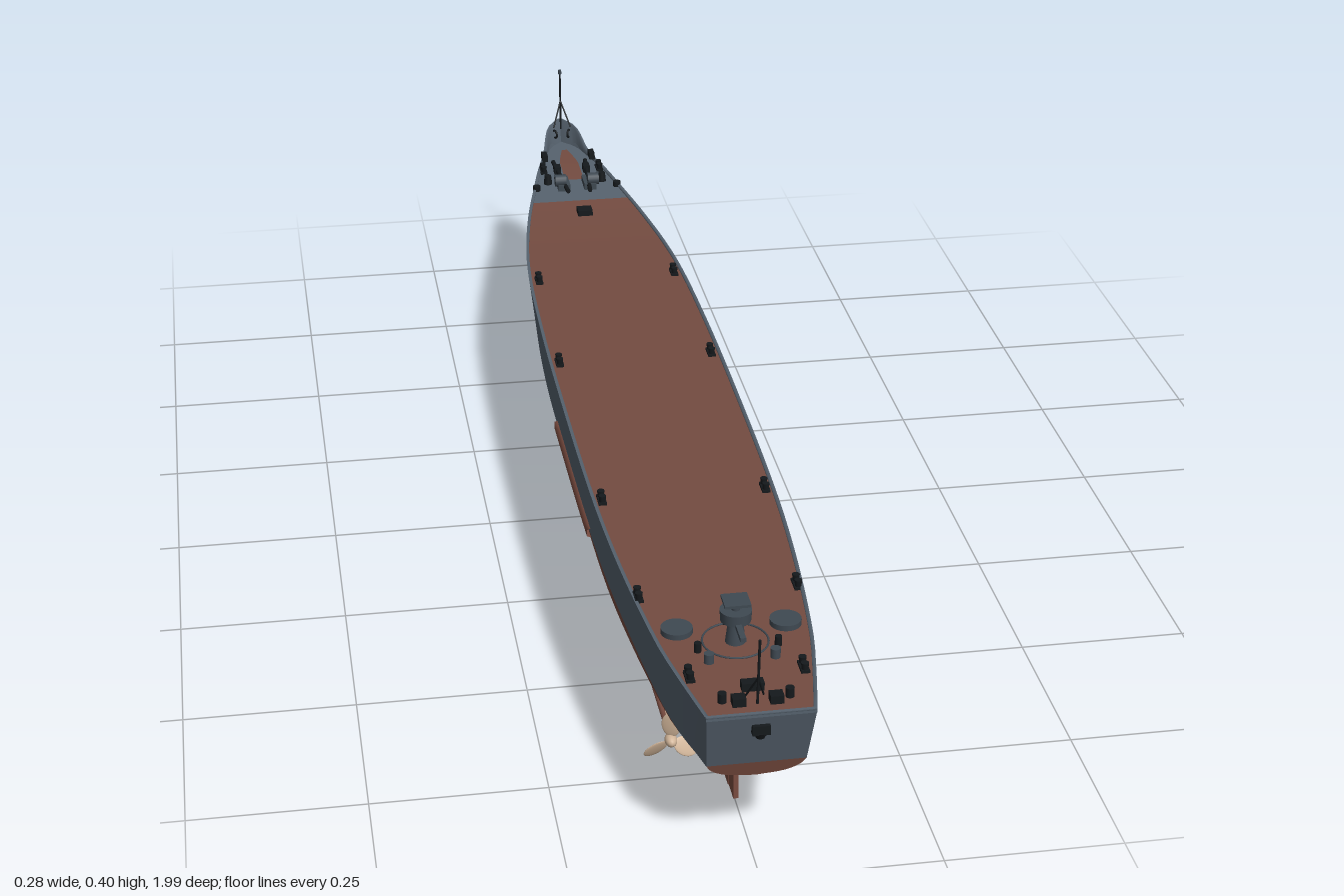
import * as THREE from 'three';

// hull stations: z, keelY, bilgeX, bilgeY, lowX, lowY, waterlineX, deckX, sheerY
const STATIONS = [
  [0.985, 0.135, 0.04, 0.14, 0.06, 0.15, 0.067, 0.073, 0.253],
  [0.9, 0.112, 0.045, 0.122, 0.07, 0.142, 0.084, 0.09, 0.253],
  [0.8, 0.088, 0.052, 0.1, 0.085, 0.128, 0.1, 0.107, 0.253],
  [0.6, 0.052, 0.064, 0.067, 0.101, 0.108, 0.118, 0.126, 0.253],
  [0.4, 0.027, 0.08, 0.05, 0.113, 0.1, 0.129, 0.136, 0.253],
  [0.1, 0.015, 0.097, 0.05, 0.118, 0.1, 0.133, 0.14, 0.253],
  [-0.2, 0.015, 0.094, 0.048, 0.116, 0.1, 0.132, 0.139, 0.253],
  [-0.45, 0.015, 0.07, 0.038, 0.1, 0.1, 0.117, 0.13, 0.253],
  [-0.65, 0.015, 0.04, 0.034, 0.068, 0.1, 0.085, 0.104, 0.256],
  [-0.8, 0.015, 0.016, 0.03, 0.034, 0.1, 0.046, 0.07, 0.266],
  [-0.89, 0.016, 0.006, 0.03, 0.013, 0.1, 0.02, 0.042, 0.274],
  [-0.93, 0.02, 0.003, 0.035, 0.005, 0.1, 0.008, 0.027, 0.298],
  [-0.955, 0.032, 0, 0.05, 0, 0.1, 0, 0.003, 0.305],
];
const WL = 0.16;

// smooth interpolation between stations
function station(z) {
  const S = STATIONS;
  let i = 0;
  while (i < S.length - 2 && z < S[i + 1][0]) i++;
  const h = S[i + 1][0] - S[i][0], t = (z - S[i][0]) / h;
  const slope = (j, c) => {
    const a = S[Math.max(j - 1, 0)], b = S[Math.min(j + 1, S.length - 1)];
    return (b[c] - a[c]) / (b[0] - a[0]);
  };
  return S[i].map((v, c) => c === 0 ? z :
    v * (1 + 2 * t) * (1 - t) ** 2 + S[i + 1][c] * t * t * (3 - 2 * t) +
    h * (slope(i, c) * t * (1 - t) ** 2 - slope(i + 1, c) * t * t * (1 - t)));
}

// raked transom and flared clipper stem
function rake(z, y) {
  const s = THREE.MathUtils.smoothstep(z, 0.85, 0.985);
  const b = THREE.MathUtils.smoothstep(-z, 0.72, 0.955);
  return z + s * (y - 0.25) * 0.3 - b * 0.045 * Math.max(0, (y - WL) / 0.145) ** 1.4;
}
const P = (x, y, z) => new THREE.Vector3(x, y, rake(z, y));

function bottomHalf(z) {
  const [, k, bx, by, lx, ly, wx] = station(z);
  const c = new THREE.CatmullRomCurve3([[0, k], [bx, by], [lx, ly], [wx, WL]].map(p => new THREE.Vector3(p[0], p[1], 0)), false, 'centripetal');
  return c.getPoints(12).map(p => P(Math.max(0, p.x), p.y, z));
}
function topHalf(z) {
  const s = station(z), out = [];
  for (let i = 0; i <= 6; i++) {
    const t = i / 6, p = z < -0.5 ? 1 + (-z - 0.5) * 0.9 : 1;
    out.push(P(s[6] + (s[7] - s[6]) * t ** p, WL + (s[8] - WL) * t, z));
  }
  return out;
}
const deckY = z => Math.min(station(z)[8] - 0.004, 0.264);
const mirror = a => a.map(p => new THREE.Vector3(-p.x, p.y, p.z));

// surface through equal-length rows of points
function loft(rows) {
  const n = rows[0].length, idx = [];
  for (let i = 0; i < rows.length - 1; i++)
    for (let j = 0; j < n - 1; j++) {
      const a = i * n + j, b = a + n;
      idx.push(a, a + 1, b, b, a + 1, b + 1);
    }
  const g = new THREE.BufferGeometry().setFromPoints(rows.flat());
  g.setIndex(idx);
  g.computeVertexNormals();
  return g;
}
function range(a, b, n) {
  return Array.from({ length: n + 1 }, (_, i) => a + (b - a) * i / n);
}

export function createModel() {
  const root = new THREE.Group();
  const mat = (name, color, side = THREE.FrontSide) => {
    const m = new THREE.MeshStandardMaterial({ color, side });
    m.name = name;
    return m;
  };
  const grey = mat('hull grey', 0x56626e, THREE.DoubleSide);
  const red = mat('antifouling red', 0x7a4c40, THREE.DoubleSide);
  const deckMat = mat('deck brown', 0x744c41, THREE.DoubleSide);
  const black = mat('fitting black', 0x15191c);
  const steel = mat('steel grey', 0x3f4952);
  const bronze = mat('bronze', 0xd0b498);

  const add = (name, geo, m, x = 0, y = 0, z = 0, parent = root) => {
    const o = new THREE.Mesh(geo, m);
    o.name = name;
    o.position.set(x, y, z);
    parent.add(o);
    return o;
  };
  const box = (w, h, d) => new THREE.BoxGeometry(w, h, d);
  const cyl = (r, h, r2 = r, n = 16) => new THREE.CylinderGeometry(r2, r, h, n);
  const rod = (name, a, b, r, m, r2 = r) => {
    const A = new THREE.Vector3(...a), B = new THREE.Vector3(...b), d = B.clone().sub(A);
    const o = add(name, cyl(r, d.length(), r2, 10), m);
    o.position.copy(A).addScaledVector(d, 0.5);
    o.quaternion.setFromUnitVectors(new THREE.Vector3(0, 1, 0), d.normalize());
    return o;
  };

  // hull shell
  const zs = [...range(0.985, -0.8, 50), ...range(-0.8, -0.955, 16).slice(1)];
  add('lowerHull', loft(zs.map(z => {
    const h = bottomHalf(z);
    return [...mirror(h).reverse(), ...h.slice(1)];
  })), red);
  add('leftTopsides', loft(zs.map(topHalf)), grey);
  add('rightTopsides', loft(zs.map(z => mirror(topHalf(z)).reverse())), grey);

  // transom
  const pair = p => [new THREE.Vector3(-p.x, p.y, p.z), p];
  add('transomLower', loft(bottomHalf(0.985).map(pair).reverse()), red);
  add('transomUpper', loft(topHalf(0.985).map(pair).reverse()), grey);

  // decks
  const deckRow = z => {
    const x = Math.max(0, station(z)[7] - 0.004), y = deckY(z);
    return [P(-x, y, z), P(x, y, z)];
  };
  add('mainDeck', loft(range(0.985, -0.715, 50).map(deckRow)), deckMat);
  add('foredeck', loft(range(-0.715, -0.955, 16).map(deckRow)), grey);
  add('foredeckCentre', loft(range(-0.79, -0.91, 6).map(z => {
    const w = 0.017 * Math.min(1, (z + 0.93) / 0.07);
    return [P(-w, deckY(z) + 0.002, z), P(w, deckY(z) + 0.002, z)];
  })), deckMat);

  // gunwale and bow bulwark
  const rim = zs.map(z => {
    const s = station(z), x = Math.max(0, s[7] - 0.005);
    return [P(s[7], s[8], z), P(x, s[8], z), P(x, deckY(z), z)];
  });
  add('leftGunwale', loft(rim), grey);
  add('rightGunwale', loft(rim.map(r => mirror(r).reverse())), grey);
  add('sternGunwale', box(0.146, 0.006, 0.005), grey, 0, 0.251, 0.983);

  // rudder
  add('rudder', box(0.009, 0.068, 0.062), red, 0, 0.042, 0.757);
  add('rudderAft', box(0.007, 0.06, 0.036), red, 0, 0.039, 0.806);
  rod('rudderStock', [0, 0.07, 0.77], [0, 0.1, 0.77], 0.006, red);

  for (const s of [-1, 1]) {
    // shaft line, bossing and brackets
    rod('shaft', [s * 0.07, 0.03, 0.7], [s * 0.064, 0.043, 0.4], 0.0045, bronze);
    rod('shaftBossing', [s * 0.068, 0.035, 0.56], [s * 0.06, 0.052, 0.33], 0.007, red, 0.014);
    rod('innerBracket', [s * 0.07, 0.031, 0.675], [s * 0.035, 0.078, 0.665], 0.004, red);
    rod('outerBracket', [s * 0.07, 0.031, 0.675], [s * 0.088, 0.1, 0.665], 0.004, red);

    // three-bladed propeller
    const prop = new THREE.Group();
    prop.name = 'propeller';
    prop.position.set(s * 0.07, 0.03, 0.7);
    root.add(prop);
    const hub = add('hub', new THREE.SphereGeometry(0.009, 16, 12), bronze, 0, 0, 0, prop);
    hub.scale.z = 1.5;
    for (let i = 0; i < 3; i++) {
      const arm = new THREE.Group();
      arm.name = 'bladeArm';
      arm.rotation.z = i * Math.PI * 2 / 3;
      prop.add(arm);
      const blade = add('blade', new THREE.SphereGeometry(1, 16, 12), bronze, 0, 0.025, 0, arm);
      blade.scale.set(0.014, 0.019, 0.002);
      blade.rotation.y = s * 0.5;
    }

    // side strake
    add('sideStrake', loft(range(0.335, -0.02, 12).map(z => {
      const x = s * station(z)[6];
      return [[0, 0.157], [0.006, 0.159], [0.006, 0.17], [0, 0.172]].map(p => new THREE.Vector3(x + s * p[0], p[1], z));
    })), red);

    // bow anchors with hawse plates
    const hx = station(-0.865)[7] - 0.004;
    const anchor = new THREE.Group();
    anchor.name = 'bowAnchor';
    anchor.position.set(s * hx, 0.243, -0.88);
    anchor.rotation.set(0.4, s * 0.4, -s * 0.25);
    root.add(anchor);
    add('anchorShank', box(0.007, 0.034, 0.007), black, 0, 0, 0, anchor);
    add('anchorCrown', box(0.009, 0.009, 0.032), black, 0, -0.014, 0, anchor);
    for (const k of [-1, 1]) add('anchorFluke', box(0.007, 0.02, 0.007), black, 0, -0.005, k * 0.013, anchor);

    // anchor chains, windlasses and stoppers
    rod('anchorChain', [s * 0.02, 0.268, -0.73], [s * 0.03, 0.27, -0.87], 0.004, black);
    add('windlassBase', box(0.022, 0.012, 0.045), steel, s * 0.024, 0.265, -0.775);
    const drum = add('windlassDrum', cyl(0.011, 0.02), steel, s * 0.03, 0.276, -0.765);
    drum.rotation.z = Math.PI / 2;
    add('capstan', cyl(0.008, 0.018, 0.006), black, s * 0.05, 0.268, -0.79);
    add('chainStopper', box(0.012, 0.014, 0.02), black, s * 0.027, 0.269, -0.835);
    add('deckVent', cyl(0.007, 0.014), black, s * 0.074, 0.261, -0.765);
    add('bowFairlead', box(0.01, 0.012, 0.024), black, s * 0.044, 0.275, -0.885);
    const ring = add('bowFairleadRing', new THREE.TorusGeometry(0.007, 0.002, 8, 16), black, s * 0.013, 0.284, -0.973);
    ring.rotation.y = Math.PI / 2 - s * 0.45;

    // stern fittings
    add('sternPlatform', cyl(0.022, 0.008, 0.022, 24), steel, s * 0.075, 0.256, 0.77);
    add('sternFairlead', box(0.018, 0.012, 0.016), black, s * 0.025, 0.257, 0.955);
    add('sternRoller', cyl(0.006, 0.014), black, s * 0.045, 0.257, 0.945);
    add('lockerDrum', cyl(0.007, 0.014), steel, s * 0.045, 0.258, 0.85);
    add('deckPost', cyl(0.005, 0.014), black, s * 0.055, 0.257, 0.82);

    // twin bollards along the sides
    for (const [x, z] of [[0.112, 0.67], [0.122, 0.39], [0.124, -0.07], [0.117, -0.39], [0.077, 0.88], [0.052, -0.84]]) {
      const y = deckY(z);
      add('bollardBase', box(0.012, 0.004, 0.028), black, s * x, y + 0.002, z);
      for (const k of [-1, 1]) add('bollardPost', cyl(0.0045, 0.011, 0.0055, 12), black, s * x, y + 0.008, z + k * 0.008);
    }
  }

  // stern gun tub and mount
  const circle = add('trainingRing', new THREE.TorusGeometry(0.045, 0.0015, 6, 40), steel, 0, 0.25, 0.8);
  circle.rotation.x = Math.PI / 2;
  add('mountPedestal', cyl(0.014, 0.035, 0.01), steel, 0, 0.266, 0.8);
  add('mountPlatform', cyl(0.021, 0.016, 0.022, 24), steel, 0, 0.291, 0.8);
  add('mountColumn', cyl(0.006, 0.014), steel, 0, 0.304, 0.8);
  add('mountTop', box(0.036, 0.004, 0.034), steel, 0, 0.312, 0.8);
  for (const k of [-1, 1]) add('mountArm', box(0.008, 0.006, 0.04), steel, 0, 0.284, 0.8 + k * 0.035);
  add('sternHatch', box(0.018, 0.01, 0.016), black, 0, 0.254, 0.75);
  add('foreHatch', box(0.026, 0.01, 0.024), black, 0, 0.258, -0.66);
  add('sternWinch', box(0.03, 0.012, 0.014), black, 0, 0.256, 0.92);

  // stern anchor
  add('sternAnchorCrown', box(0.024, 0.014, 0.01), black, 0, 0.227, 0.981);
  add('sternAnchorFoot', cyl(0.006, 0.01, 0.011, 8), black, 0, 0.217, 0.977);

  // flagstaffs
  rod('sternStaff', [0, 0.25, 0.955], [0, 0.35, 0.962], 0.0018, black);
  rod('jackstaff', [0, 0.29, -0.985], [0, 0.405, -0.99], 0.0018, black);
  add('jackstaffLight', cyl(0.003, 0.008), steel, 0, 0.402, -0.99);
  for (const s of [-1, 1]) {
    rod('jackstaffStay', [s * 0.016, 0.3, -0.965], [0, 0.345, -0.987], 0.0014, black);
    rod('sternStay', [s * 0.012, 0.25, 0.935], [0, 0.29, 0.957], 0.0014, black);
  }
  return root;
}
